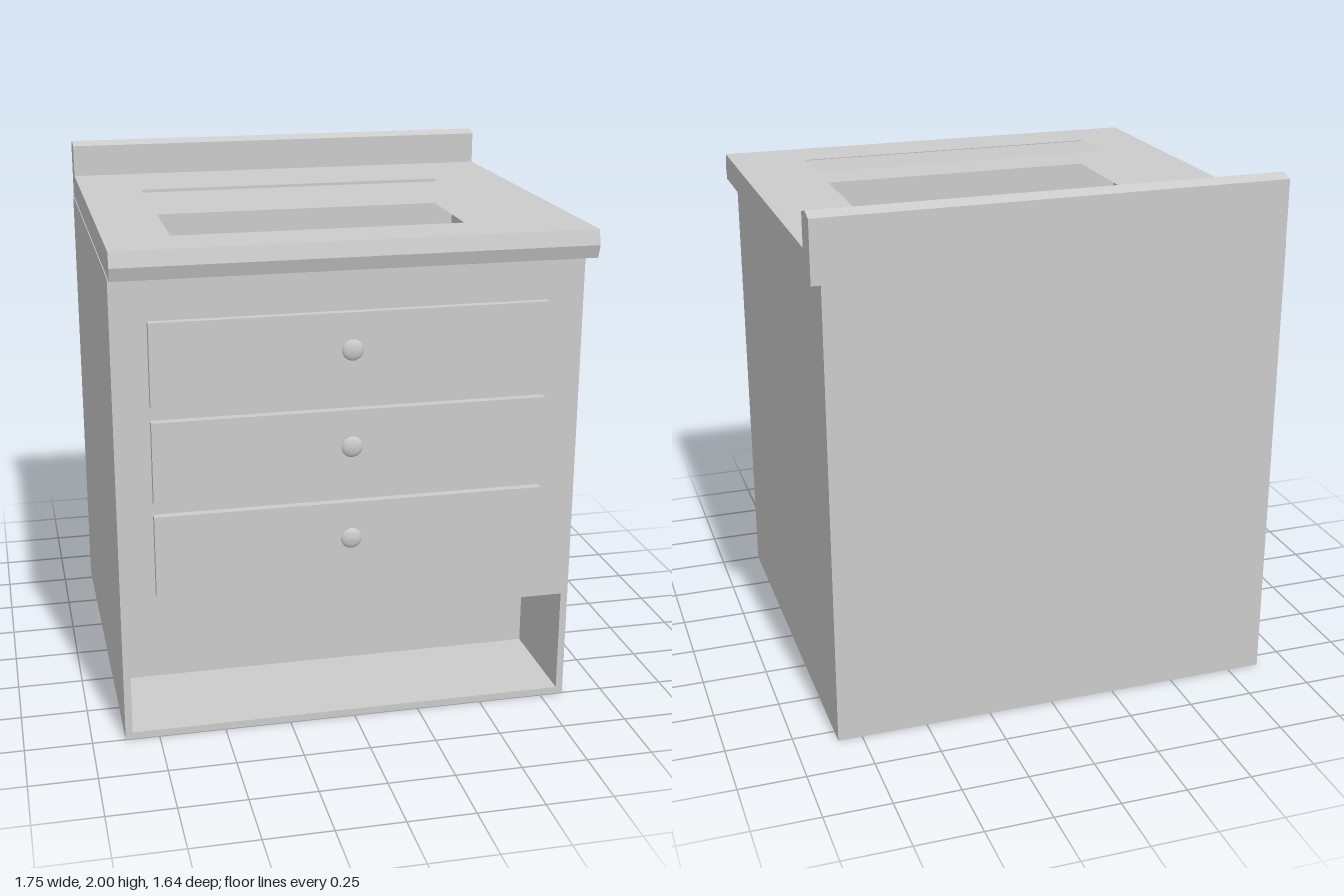
import * as THREE from 'three';

const material = new THREE.MeshStandardMaterial({ color: 0xcccccc, flatShading: true, side: THREE.DoubleSide });
const smooth = new THREE.MeshStandardMaterial({ color: 0xcccccc });

function add(parent, name, geometry, mat = material) {
  const mesh = new THREE.Mesh(geometry, mat);
  mesh.name = name;
  parent.add(mesh);
  return mesh;
}

// Box given by its limits on each axis
function box(parent, name, [x0, x1], [y0, y1], [z0, z1]) {
  const mesh = add(parent, name, new THREE.BoxGeometry(x1 - x0, y1 - y0, z1 - z0));
  mesh.position.set((x0 + x1) / 2, (y0 + y1) / 2, (z0 + z1) / 2);
  return mesh;
}

function rectPoints([x0, x1], [y0, y1]) {
  return [[x0, y0], [x1, y0], [x1, y1], [x0, y1]].map(p => new THREE.Vector2(...p));
}

function rectShape(xs, ys, holes = []) {
  const shape = new THREE.Shape(rectPoints(xs, ys));
  for (const [hx, hy] of holes) shape.holes.push(new THREE.Path(rectPoints(hx, hy)));
  return shape;
}

// Horizontal sheet with one rectangular hole, facing up
function sheet(parent, name, xs, zs, y, hx, hz) {
  const flip = ([a, b]) => [-b, -a];
  const geometry = new THREE.ShapeGeometry(rectShape(xs, flip(zs), [[hx, flip(hz)]]));
  geometry.rotateX(-Math.PI / 2).translate(0, y, 0);
  return add(parent, name, geometry);
}

const T = 0.027;                       // panel thickness
const BX = [-0.877, 0.841];            // cabinet limits
const BZ = [-0.815, 0.75];
const TOP = 1.76;
const CX = [-0.874, 0.876];            // worktop limits
const DRAWER_X = [-0.747, 0.7];
const DRAWERS = [0.583, 0.936, 1.296]; // lower edges
const DRAWER_H = 0.308;
const KNOB_X = -0.032;

function buildCabinet() {
  const g = new THREE.Group();
  g.name = 'cabinet';
  const inX = [BX[0] + T, BX[1] - T];
  const inZ = [BZ[0] + T, BZ[1] - T];

  // Front frame with drawer openings and the low open shelf
  const holes = DRAWERS.map(y => [
    [DRAWER_X[0] + 0.008, DRAWER_X[1] - 0.008], [y + 0.008, y + DRAWER_H - 0.008]]);
  holes.push([inX, [T, 0.43]]);
  const front = new THREE.ExtrudeGeometry(rectShape(BX, [0, TOP], holes), { depth: T, bevelEnabled: false });
  add(g, 'frontFrame', front.translate(0, 0, inZ[1]));

  box(g, 'rightSide', [BX[0], inX[0]], [0, TOP], [BZ[0], inZ[1]]);
  box(g, 'leftSide', [inX[1], BX[1]], [0, TOP], [BZ[0], inZ[1]]);
  box(g, 'backPanel', inX, [0, TOP], [BZ[0], inZ[0]]);
  box(g, 'floorPanel', inX, [0, T], inZ);
  sheet(g, 'topPanel', BX, BZ, TOP, [-0.625, 0.59], [-0.322, 0.572]);

  // Thin walls closing off the open shelf
  const back = add(g, 'shelfBack', new THREE.PlaneGeometry(inX[1] - inX[0], 0.43 - T));
  back.position.set((inX[0] + inX[1]) / 2, (0.43 + T) / 2, 0.32);
  const ceiling = add(g, 'shelfCeiling',
    new THREE.PlaneGeometry(inX[1] - inX[0], inZ[1] - 0.32).rotateX(-Math.PI / 2));
  ceiling.position.set((inX[0] + inX[1]) / 2, 0.43, (inZ[1] + 0.32) / 2);
  return g;
}

function buildDrawer(y) {
  const g = new THREE.Group();
  g.name = 'drawer';
  box(g, 'drawerFront', DRAWER_X, [y, y + DRAWER_H], [BZ[1], 0.782]);
  // Turned knob: flared stem and domed head
  const profile = [[0.028, 0], [0.02, 0.006], [0.018, 0.018], [0.038, 0.023],
    [0.039, 0.026], [0.033, 0.032], [0.02, 0.037], [0, 0.039]];
  const knob = add(g, 'knob',
    new THREE.LatheGeometry(profile.map(p => new THREE.Vector2(...p)), 24).rotateX(Math.PI / 2), smooth);
  knob.position.set(KNOB_X, y + 0.178, 0.781);
  return g;
}

function buildWorktop() {
  const g = new THREE.Group();
  g.name = 'worktop';
  const holeX = [-0.635, 0.585], holeZ = [-0.333, 0.57];
  // Side profile as (z, y): pointed nose at the front, ridged upstand at the back
  const profile = [[-0.715, 1.86], [-0.715, 1.985], [-0.765, 2], [-0.818, 1.985],
    [-0.818, 1.756], [0.783, 1.756], [0.798, 1.805], [0.783, 1.86]];

  // Ribbon along x for each profile edge; the two flat faces are sheets with a hole
  const positions = [];
  profile.forEach(([z0, y0], i) => {
    const [z1, y1] = profile[(i + 1) % profile.length];
    if (y0 === y1) return;
    const a = [CX[0], y0, z0], b = [CX[1], y0, z0], c = [CX[1], y1, z1], d = [CX[0], y1, z1];
    positions.push(...a, ...b, ...c, ...a, ...c, ...d);
  });
  const ribbon = new THREE.BufferGeometry();
  ribbon.setAttribute('position', new THREE.Float32BufferAttribute(positions, 3));
  ribbon.computeVertexNormals();
  add(g, 'worktopEdges', ribbon);

  sheet(g, 'worktopSurface', CX, [-0.715, 0.783], 1.86, holeX, holeZ);
  const under = sheet(g, 'worktopUnderside', CX, [-0.818, 0.783], -1.756, holeX, holeZ.map(z => -z).reverse());
  under.geometry.dispose();
  const underShape = rectShape(CX, [-0.818, 0.783], [[[-0.64, 0.6], [-0.34, 0.58]]]);
  under.geometry = new THREE.ShapeGeometry(underShape).rotateX(Math.PI / 2).translate(0, 1.756, 0);

  // End caps
  const cap = new THREE.Shape(profile.map(([z, y]) => new THREE.Vector2(-z, y)));
  for (const [name, x, turn] of [['leftEnd', CX[1], 0], ['rightEnd', CX[0], 1]]) {
    const geometry = new THREE.ShapeGeometry(cap).rotateY(Math.PI / 2).translate(x, 0, 0);
    if (turn) geometry.setIndex([...geometry.index.array].reverse()).computeVertexNormals();
    add(g, name, geometry);
  }
  return g;
}

export function createModel() {
  const model = new THREE.Group();
  model.name = 'vanityCabinet';
  model.add(buildCabinet(), buildWorktop());
  for (const y of DRAWERS) model.add(buildDrawer(y));
  return model;
}
